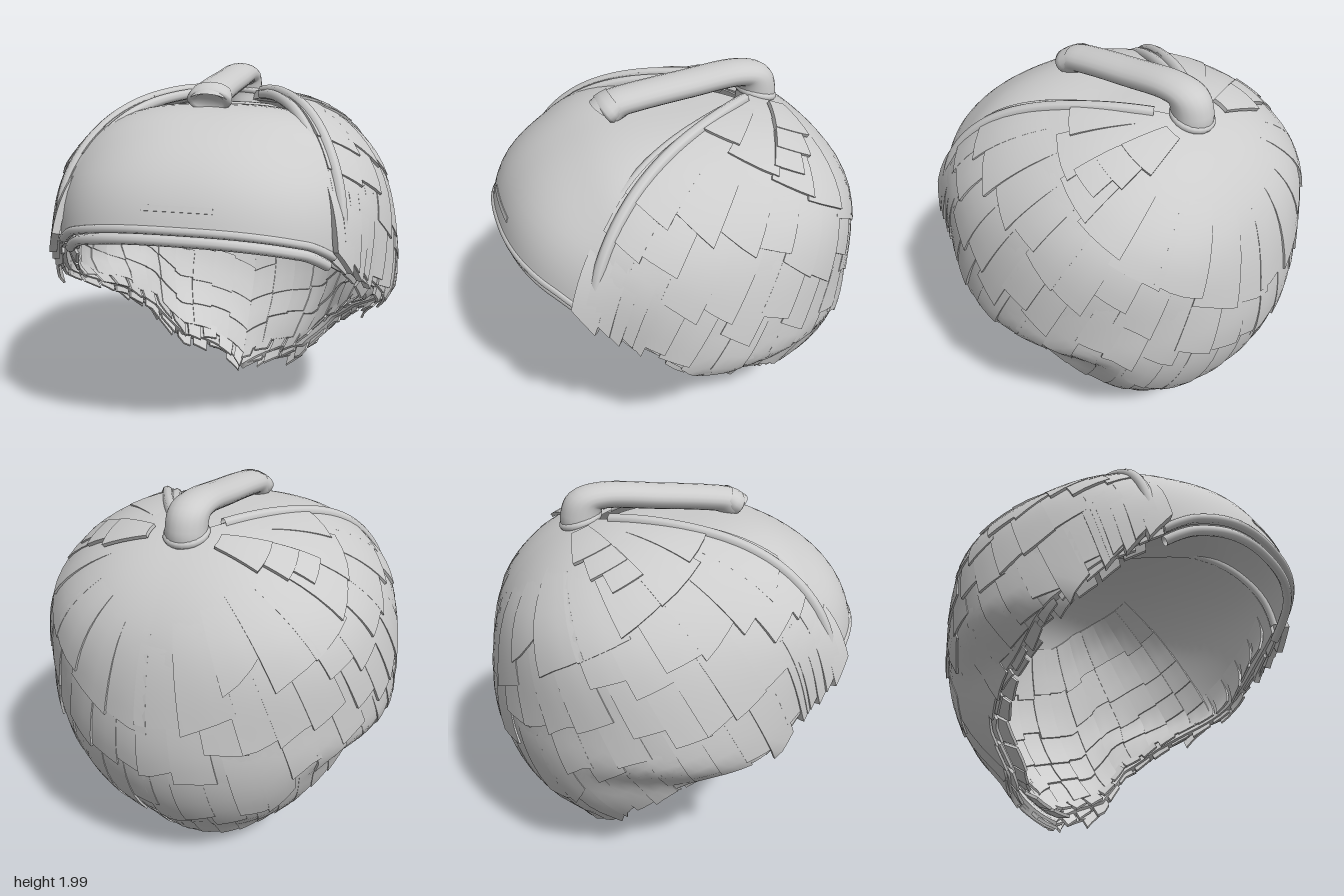
import * as THREE from 'three';
import { mergeGeometries } from 'three/addons/utils/BufferGeometryUtils.js';

const CY = 0.94;            // height of the head centre
const PART = 0.75;          // angle of the two partings around the crown
const CROWN = new THREE.Vector3(0, 0.88, -0.47).normalize();
const FRONT = new THREE.Vector3(0, 0.47, 0.88).normalize();
const lerp = THREE.MathUtils.lerp;
const smooth = THREE.MathUtils.smoothstep;

// Lower hairline: height of the cut for a given z, and a V toward the nape
const EDGE = [[-0.46, -0.4], [-0.40, 0.0], [-0.37, 0.42], [-0.2, 0.57], [0, 0.68], [0.3, 0.85],
  [0.5, 1.01], [0.65, 1.12], [0.8, 1.23], [0.97, 1.31], [1.2, 1.4]];
function edgeY(x, z) {
  const vee = z < -0.37 ? 0.45 * Math.abs(x) : 0;
  for (let i = 1; i < EDGE.length; i++) {
    const [z0, y0] = EDGE[i - 1], [z1, y1] = EDGE[i];
    if (z <= z1) return Math.max(vee, lerp(y0, y1, Math.max(0, z - z0) / (z1 - z0)));
  }
  return 1.4;
}

// Point on the head, by angle around the crown and angle down from it
function headPoint(az, phi, lift = 0) {
  const d = CROWN.clone().multiplyScalar(Math.cos(phi))
    .addScaledVector(FRONT, Math.sin(phi) * Math.cos(az));
  d.x = Math.sin(phi) * Math.sin(az);
  const n = 2 + 0.42 * smooth(d.y, 0, 0.55);
  const sum = Math.abs(d.x / 0.95) ** n + Math.abs(d.y / 0.94) ** n + Math.abs(d.z / 0.96) ** n;
  const bulge = 1 + 0.068 * smooth(d.z, 0.55, 0.93) + 0.085 * smooth(-d.y, 0.7, 0.92);
  d.multiplyScalar(sum ** (-1 / n) * bulge + lift);
  d.y += CY;
  // the sides draw in below the ears
  d.x *= 1 - 0.13 * smooth(0.86 - d.y, 0, 0.22) * smooth(d.z, -0.75, -0.35);
  return d;
}

function phiMax(az) {
  const below = phi => { const p = headPoint(az, phi); return p.y < edgeY(p.x, p.z); };
  let lo = 0.5;
  while (lo < 2.9 && !below(lo + 0.04)) lo += 0.04;
  let hi = lo + 0.04;
  for (let i = 0; i < 8; i++) {
    const mid = (lo + hi) / 2;
    if (below(mid)) hi = mid; else lo = mid;
  }
  return lo;
}

// Surface point: v runs from the crown (0) to the hairline (1)
function surf(az, v, lift = 0) {
  const a = Math.abs(az);
  const w = a < PART ? a / PART : Math.max(0, 1 - (a - PART) / 0.6);
  const warp = 0.13 * w * Math.sin(Math.PI * Math.min(v, 1));
  return headPoint(Math.sign(az) * (a - warp), v * phiMax(a), lift);
}

// Grid of points fn(s, t), both 0..1
function grid(fn, ns, nt) {
  const pos = [], idx = [];
  for (let j = 0; j <= nt; j++)
    for (let i = 0; i <= ns; i++) pos.push(...fn(i / ns, j / nt).toArray());
  for (let j = 0; j < nt; j++)
    for (let i = 0; i < ns; i++) {
      const a = j * (ns + 1) + i, b = a + ns + 1;
      idx.push(a, b, a + 1, a + 1, b, b + 1);
    }
  const g = new THREE.BufferGeometry();
  g.setAttribute('position', new THREE.Float32BufferAttribute(pos, 3));
  g.setIndex(idx);
  g.computeVertexNormals();
  return g;
}

// Curved slab over the head with an outer face, an inner face and four edges
function slab(a0, a1, v0, v1, lift, thick, ns, nt, shapeEnd = () => 0) {
  const at = (s, t, k) => surf(lerp(a0, a1, s), lerp(v0, v1 + shapeEnd(s), t), lift(s, t) - k * thick);
  return mergeGeometries([
    grid((s, t) => at(s, t, 0), ns, nt),
    grid((s, t) => at(1 - s, t, 1), ns, nt),
    grid((s, k) => at(s, 1, k), ns, 1),
    grid((s, k) => at(1 - s, 0, k), ns, 1),
    grid((k, t) => at(0, t, 1 - k), 1, nt),
    grid((k, t) => at(1, t, k), 1, nt),
  ]);
}

function strand(fn, count, radius) {
  const pts = Array.from({ length: count + 1 }, (_, i) => fn(i / count));
  const g = new THREE.TubeGeometry(new THREE.CatmullRomCurve3(pts), count * 3, radius, 8);
  g.deleteAttribute('uv');
  return g;
}

export function createModel() {
  const group = new THREE.Group();
  const hair = new THREE.MeshStandardMaterial({ color: 0xcccccc, side: THREE.DoubleSide });
  hair.name = 'light grey hair';
  const add = (name, geo) => {
    const mesh = new THREE.Mesh(geo, hair);
    mesh.name = name;
    group.add(mesh);
  };
  let seed = 7;
  const rnd = () => (seed = (seed * 16807) % 2147483647) / 2147483647;

  // Smooth shell around sides and back, and the sunken panel over the brow
  add('hairShell', slab(PART, 2 * Math.PI - PART, 0.01, 0.985, () => 0, 0.05, 96, 40));
  add('frontPanel', slab(-PART, PART, 0.02, 1, (s, t) => -0.08 * (1 - smooth(t, 0.25, 0.7)), 0.03, 40, 30));

  // Rolled rim along the brow, the lower roll tucked under
  add('browRim', mergeGeometries([[0.99, -0.012, 0.022], [1.015, -0.045, 0.026]]
    .map(([v, l, r]) => strand(s => surf(lerp(-PART, PART, s), v, l), 20, r))));
  add('browCrease', slab(-0.16, 0.16, 0.93, 0.945, () => 0.004, 0.01, 10, 1));

  for (const side of [1, -1]) {
    const name = side > 0 ? 'left' : 'right';
    const piece = (a0, a1, ...rest) => slab(side * a0, side * a1, ...rest);

    // Double roll along the parting
    add(name + 'PartingRolls', mergeGeometries([
      strand(t => surf(side * (PART + 0.04), lerp(0.12, 0.98, t), -0.004), 20, 0.03),
      strand(t => surf(side * (PART - 0.02), lerp(0.14, 0.97, t), -0.03), 20, 0.028),
    ]));

    // Overlapping locks, in rows from the crown down; each lifts toward its tip
    const locks = [];
    const rows = [[0.1, 0.42, 8], [0.3, 0.6, 12], [0.45, 0.78, 15], [0.62, 0.99, 17]];
    rows.forEach(([v0, v1, n], r) => {
      const step = (Math.PI - PART) / n;
      for (let i = 0; i < n; i++) {
        const a = PART + i * step;
        const tip = v1 + (rnd() - 0.5) * (r < 3 ? 0.12 : 0.03);
        const high = 0.008 + 0.01 * rnd();
        const slant = (rnd() - 0.5) * 0.06;
        locks.push(piece(a, Math.min(a + step * 1.15, Math.PI + 0.04), v0, tip,
          (s, t) => -0.006 + t * high + 0.007 * s * t, 0.014, 3, 8, s => slant * s));
      }
    });
    add(name + 'Locks', mergeGeometries(locks));

    // Ragged tips under the hairline: an outer layer and one curling inward
    const tips = [];
    for (let i = 0; i < 30; i++) {
      const a = lerp(PART, 3.06, i / 29), slant = (rnd() - 0.5) * 0.03, curl = i % 2;
      tips.push(piece(a, Math.min(a + 0.13, Math.PI), 0.86, 0.995 + 0.015 * rnd(),
        (s, t) => -0.015 - curl * (0.02 + 0.06 * t * t), 0.016, 2, 4, s => slant * s));
    }
    add(name + 'RaggedTips', mergeGeometries(tips));

    // Tuft at the temple, fanning out and turning in over the brow rim
    const tuft = [];
    for (let i = 0; i < 5; i++)
      tuft.push(piece(PART - 0.03 + i * 0.06, PART + 0.1 + i * 0.06, 0.82 - 0.02 * i, 1.0 - 0.015 * (i % 2),
        (s, t) => t * (0.055 - 0.01 * i), 0.04, 3, 6, s => 0.03 * (s - 0.5)));
    add(name + 'TempleTuft', mergeGeometries(tuft));

    // Stepped short locks beside the crown
    const steps = [[0.1, 0.23, 0.24, 0.026], [0.18, 0.3, 0.18, 0.022], [0.24, 0.36, 0.13, 0.018]];
    add(name + 'CrownSteps', mergeGeometries(steps.map(([v0, v1, w, l], i) =>
      piece(1.6 - 0.06 * i - w, 1.6 - 0.06 * i + w, v0, v1, () => l, 0.02, 6, 4))));

    // Shingled layers lining the inside
    const lining = [];
    [0.42, 0.57, 0.69, 0.79, 0.88].forEach(v => {
      const n = 10;
      for (let i = 0; i < n; i++) {
        const a = lerp(1.5, Math.PI, i / n), jit = 0.03 * rnd();
        lining.push(piece(a, a + (Math.PI - 1.5) / n, v - 0.08, v + 0.07 + jit,
          (s, t) => -0.045 - 0.022 * t - 0.006 * (i % 2), 0.012, 3, 3));
      }
    });
    add(name + 'Lining', mergeGeometries(lining));
  }

  // Folded topknot: a flattened tube rising at the crown and lying forward
  const flat = 0.62;
  const path = [[1.76, -0.44], [1.84, -0.445], [1.915, -0.41], [1.934, -0.32], [1.912, -0.05],
    [1.885, 0.22], [1.868, 0.32], [1.835, 0.375]];
  const knot = new THREE.TubeGeometry(new THREE.CatmullRomCurve3(
    path.map(([y, z]) => new THREE.Vector3(0, y / flat, z))), 56, 0.103, 20);
  knot.scale(1, flat, 1);
  add('topknot', knot);

  // Flared, dished end of the topknot, turned down, and its tie at the crown
  const end = new THREE.LatheGeometry([[0, 0.0], [0.06, 0.0], [0.08, 0.02], [0.1, 0.025], [0.115, 0.01],
    [0.112, -0.02], [0.1, -0.06]].map(([x, y]) => new THREE.Vector2(x, y)), 20);
  end.rotateX(Math.PI / 2).scale(1, 0.6, 1).rotateX(0.6).translate(0, 1.85, 0.37);
  add('topknotEnd', end);
  const tie = new THREE.TorusGeometry(0.095, 0.02, 10, 24);
  tie.rotateX(Math.PI / 2 - 0.3).translate(0, 1.82, -0.445);
  add('topknotTie', tie);

  return group;
}
